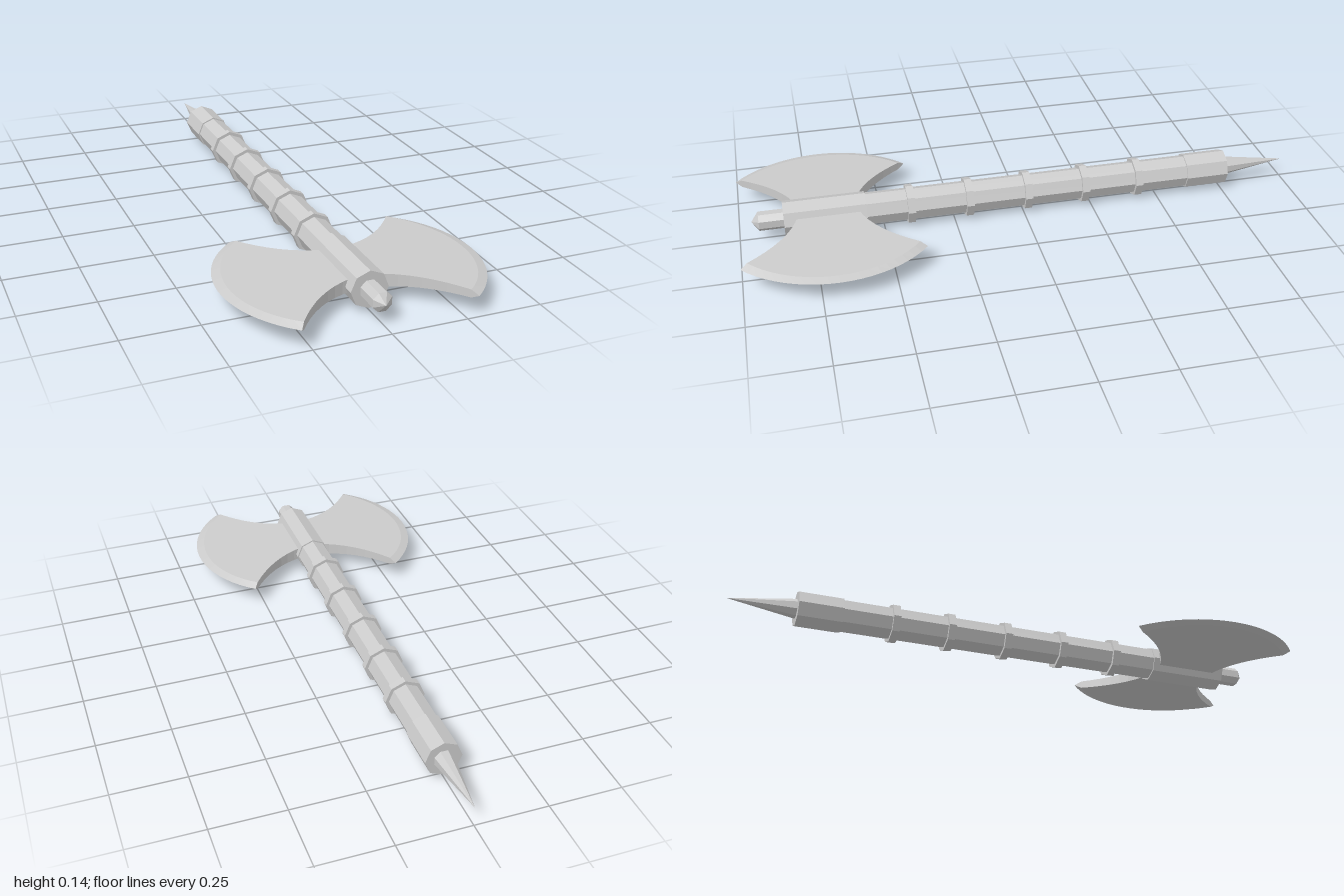
import * as THREE from 'three';

const AXIS_Y = 0.071;

export function createModel() {
  const model = new THREE.Group();
  model.name = 'doubleAxe';
  const grey = new THREE.MeshStandardMaterial({ color: 0xcccccc, flatShading: true });

  // Eight-sided section of the weapon between two z positions
  function section(name, z0, z1, r0, r1 = r0, turn = 0) {
    const geo = new THREE.CylinderGeometry(r1, r0, z1 - z0, 8);
    geo.rotateY(turn).rotateX(Math.PI / 2);
    const mesh = new THREE.Mesh(geo, grey);
    mesh.name = name;
    mesh.position.set(0, AXIS_Y, (z0 + z1) / 2);
    model.add(mesh);
  }

  // Shaft with sleeves at both ends
  section('shaft', -0.7, 0.7, 0.058);
  section('pommelSleeve', -0.765, -0.61, 0.063);
  section('headSleeve', 0.56, 0.845, 0.063);

  // Grip rings
  [0.405, 0.197, -0.015, -0.225, -0.425].forEach((z, i) =>
    section('gripRing' + (i + 1), z - 0.013, z + 0.013, 0.07));

  // Rear spike and front stub with its blunt point
  section('rearSpike', -1, -0.76, 0, 0.035, Math.PI / 8);
  section('frontStub', 0.84, 0.93, 0.034, 0.034, Math.PI / 8);
  section('frontPoint', 0.93, 0.955, 0.034, 0, Math.PI / 8);

  // Blades, the left one turned half round the shaft
  const bladeGeo = bladeGeometry();
  for (const [name, turn] of [['leftBlade', 0], ['rightBlade', Math.PI]]) {
    const blade = new THREE.Mesh(bladeGeo, grey);
    blade.name = name;
    blade.position.set(0, AXIS_Y, 0.693);
    blade.rotation.z = turn;
    model.add(blade);
  }
  return model;
}

// Blade lofted from closed loops running out from the shaft to the cutting edge
function bladeGeometry() {
  const notch = new THREE.QuadraticBezierCurve(
    new THREE.Vector2(0.04, 0.105), new THREE.Vector2(0.178, 0.141), new THREE.Vector2(0.284, 0.307));
  const steps = [0, 0.12, 0.24, 0.36, 0.48, 0.6, 0.72, 0.83, 0.93, 1];
  const across = 20, loop = 2 * (across + 1), arc = 0.88;
  const positions = [], index = [];

  steps.forEach((u, i) => {
    const n = notch.getPoint(u);
    const bulge = 0.144 * u ** 1.5;
    for (let k = 0; k < loop; k++) {
      const top = k <= across;
      const v = ((top ? k : loop - 1 - k) / across) * 2 - 1;
      const x = n.x + bulge * (Math.cos(arc * v) - Math.cos(arc)) / (1 - Math.cos(arc));
      const z = n.y * Math.sin(arc * v) / Math.sin(arc);
      // Thins outward, then bevels to a sharp edge
      const half = u === 1 ? 0 : 0.022 - 0.041 * (x - 0.06);
      positions.push(x, top ? half : -half, z);
      if (i < steps.length - 1) {
        const a = i * loop + k, b = i * loop + (k + 1) % loop;
        index.push(a, b, a + loop, b, b + loop, a + loop);
      }
    }
  });

  const geo = new THREE.BufferGeometry();
  geo.setAttribute('position', new THREE.Float32BufferAttribute(positions, 3));
  geo.setIndex(index);
  geo.computeVertexNormals();
  return geo;
}
